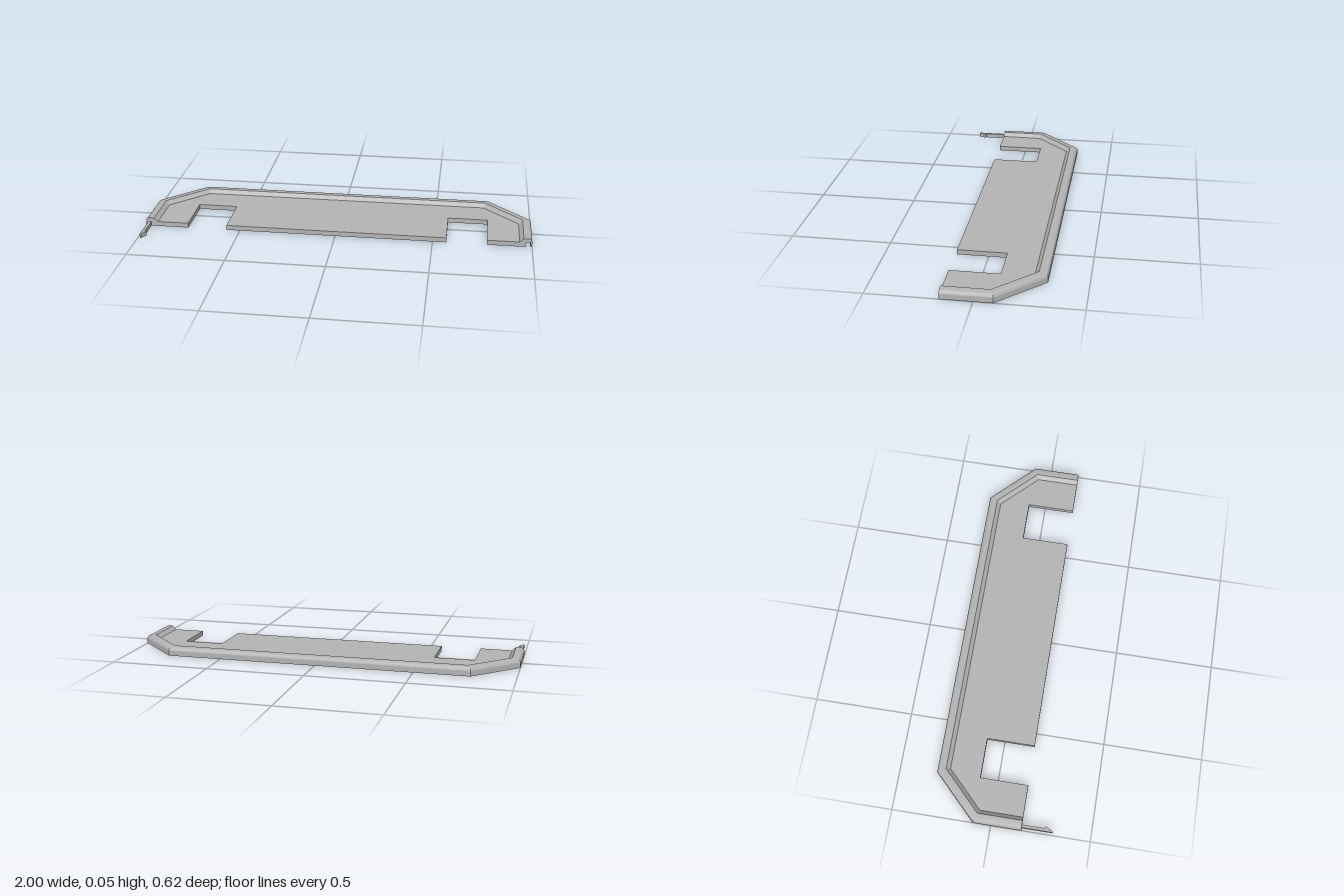
import * as THREE from 'three';
import { toCreasedNormals } from 'three/addons/utils/BufferGeometryUtils.js';

const FRONT = 0.154, PLATE = 0.025, TOP = 0.045;
const grey = new THREE.MeshStandardMaterial({ color: 0xb3b3b3 });
grey.name = 'plain grey';

// Flat outline given as [x, z] points, extruded upward from y = 0
function slab(name, points, height) {
  const shape = new THREE.Shape(points.map(([x, z]) => new THREE.Vector2(x, z)));
  const geo = new THREE.ExtrudeGeometry(shape, { depth: height, bevelEnabled: false });
  geo.rotateX(Math.PI / 2).translate(0, height, 0);
  const mesh = new THREE.Mesh(geo, grey);
  mesh.name = name;
  return mesh;
}

// Rim path from left end to right end, moved inward by d with mitred corners
function rimPath(d) {
  const m = d * Math.tan(Math.PI / 8);
  const half = [[1 - d, FRONT], [1 - d, -0.09 + m], [0.78 - m, -0.309 + d]];
  return [...half.map(([x, z]) => [-x, z]), ...half.reverse()];
}

// Raised rim: rounded outside, flat top, sloped inside
function buildRim() {
  const r = TOP - PLATE, steps = 6, profile = [];
  for (let i = 0; i <= steps; i++) {
    const a = (i / steps) * Math.PI / 2;
    profile.push([r - r * Math.cos(a), PLATE + r * Math.sin(a)]);
  }
  profile.push([0.043, TOP], [0.063, PLATE]);

  const n = profile.length, pos = [], index = [];
  for (const [d, y] of profile) {
    for (const [x, z] of rimPath(d)) pos.push(x, y, z);
  }
  const at = (i, j) => (j % n) * 6 + i;
  for (let i = 0; i < 5; i++) {
    for (let j = 0; j < n; j++) {
      const a = at(i, j), b = at(i + 1, j), c = at(i, j + 1), d = at(i + 1, j + 1);
      index.push(a, c, b, c, d, b);
    }
  }
  // End caps, fanned from the inner lower corner
  for (let j = 0; j < n - 2; j++) {
    index.push(at(0, n - 1), at(0, j + 1), at(0, j));
    index.push(at(5, n - 1), at(5, j), at(5, j + 1));
  }
  const geo = new THREE.BufferGeometry();
  geo.setAttribute('position', new THREE.Float32BufferAttribute(pos, 3));
  geo.setIndex(index);
  const mesh = new THREE.Mesh(toCreasedNormals(geo.toNonIndexed(), Math.PI / 6), grey);
  mesh.name = 'raisedRim';
  return mesh;
}

export function createModel() {
  const group = new THREE.Group();
  group.name = 'frameHalf';

  // Base plate with two front notches and a barbed socket at the +x end
  const socket = [
    [0.992, FRONT], [0.992, 0.03], [0.988, -0.005], [0.96, 0.035], [0.968, 0.045], [0.968, FRONT],
  ];
  const notch = [[0.775, FRONT], [0.775, -0.09], [0.57, -0.09], [0.57, FRONT]];
  const mirrored = notch.map(([x, z]) => [-x, z]).reverse();
  group.add(slab('basePlate', [...rimPath(0), ...socket, ...notch, ...mirrored], PLATE));

  group.add(buildRim());

  // Snap hook that fits the socket of a matching half
  const hook = [
    [-0.988, FRONT - 0.01], [-0.988, 0.309], [-0.982, 0.309], [-0.963, 0.272],
    [-0.973, 0.266], [-0.973, FRONT - 0.01],
  ];
  group.add(slab('snapHook', hook, 0.022));
  return group;
}
